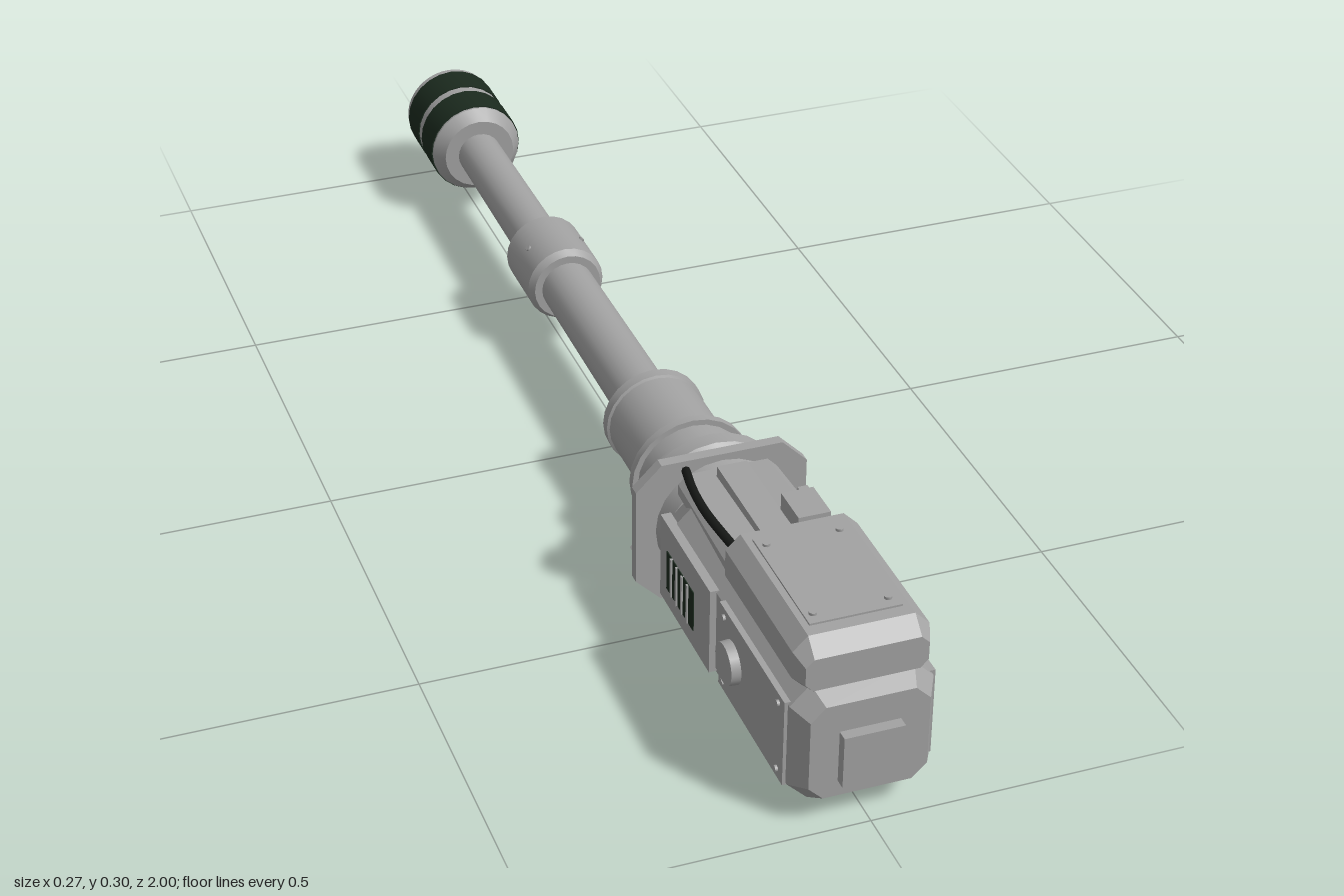
import * as THREE from 'three';
import { toCreasedNormals } from 'three/addons/utils/BufferGeometryUtils.js';

const AXIS = 0.125; // height of the barrel axis

export function createModel() {
  const root = new THREE.Group();
  root.name = 'cannon';
  const mat = (name, color) => {
    const m = new THREE.MeshStandardMaterial({ color });
    m.name = name;
    return m;
  };
  const grey = mat('steelGrey', 0xa2a2a2);
  const green = mat('darkGreen', 0x1b2a1e);
  const black = mat('cableBlack', 0x161816);

  const add = (name, geometry, material = grey) => {
    const mesh = new THREE.Mesh(geometry, material);
    mesh.name = name;
    root.add(mesh);
    return mesh;
  };

  // Box given by its limits
  const box = (name, x0, x1, y0, y1, z0, z1, material) =>
    add(name, new THREE.BoxGeometry(x1 - x0, y1 - y0, z1 - z0)
      .translate((x0 + x1) / 2, (y0 + y1) / 2, (z0 + z1) / 2), material);

  // Chamfered hull through octagonal sections [z, halfWidth, bottom, top, lowerCut, upperCut]
  const hull = (name, sections) => {
    const rings = sections.map(([z, w, b, t, c, d = c]) => [
      [w, b + c, z], [w, t - d, z], [w - d, t, z], [d - w, t, z],
      [-w, t - d, z], [-w, b + c, z], [c - w, b, z], [w - c, b, z],
    ]);
    const pos = [];
    const tri = (...corners) => corners.forEach((p) => pos.push(...p));
    for (let s = 0; s < rings.length - 1; s++) {
      const [a, b] = [rings[s], rings[s + 1]];
      for (let i = 0; i < 8; i++) {
        const j = (i + 1) % 8;
        tri(a[i], a[j], b[j]);
        tri(a[i], b[j], b[i]);
      }
    }
    const first = rings[0], last = rings[rings.length - 1];
    for (let i = 1; i < 7; i++) {
      tri(first[0], first[i + 1], first[i]);
      tri(last[0], last[i], last[i + 1]);
    }
    const g = new THREE.BufferGeometry();
    g.setAttribute('position', new THREE.Float32BufferAttribute(pos, 3));
    g.computeVertexNormals();
    return add(name, g);
  };

  // Turned part around the barrel axis, profile [radius, z] with z rising
  const turned = (name, profile, material) => {
    const pts = profile.map(([r, z]) => new THREE.Vector2(r, z));
    const g = new THREE.LatheGeometry(pts, 24).rotateX(Math.PI / 2).translate(0, AXIS, 0);
    return add(name, toCreasedNormals(g, 0.45), material);
  };

  // Receiver housing
  hull('receiver', [
    [0.44, 0.085, 0.05, 0.2, 0.03], [0.5, 0.106, 0.028, 0.218, 0.03],
    [0.95, 0.106, 0.024, 0.218, 0.03], [0.983, 0.088, 0.044, 0.2, 0.022],
  ]);
  box('frontPlate', -0.045, 0.045, 0.07, 0.154, 0.975, 1);
  box('bellyPlate', -0.086, 0.086, 0.01, 0.03, 0.54, 0.87);

  // Raised top housing with its cover
  hull('topHousing', [
    [0.67, 0.088, 0.212, 0.265, 0.012], [0.69, 0.1, 0.212, 0.293, 0.016, 0.022],
    [0.94, 0.1, 0.212, 0.293, 0.016, 0.022], [0.965, 0.09, 0.218, 0.27, 0.012],
  ]);
  box('topCover', -0.068, 0.068, 0.285, 0.296, 0.71, 0.92);
  for (const x of [-0.055, 0.055]) for (const z of [0.73, 0.9]) {
    add('coverScrew', new THREE.CylinderGeometry(0.006, 0.006, 0.006, 8).translate(x, 0.297, z));
  }

  // Deck behind the top housing
  hull('deck', [
    [0.44, 0.078, 0.19, 0.232, 0.01, 0.015], [0.68, 0.086, 0.19, 0.238, 0.01, 0.015],
  ]);
  box('deckRail', -0.025, 0.022, 0.225, 0.25, 0.46, 0.645);
  box('deckBlock', 0.03, 0.08, 0.225, 0.264, 0.575, 0.642);
  const path = new THREE.CatmullRomCurve3([
    new THREE.Vector3(-0.062, 0.232, 0.43), new THREE.Vector3(-0.075, 0.243, 0.49),
    new THREE.Vector3(-0.08, 0.246, 0.56), new THREE.Vector3(-0.068, 0.242, 0.68),
  ]);
  add('cable', new THREE.TubeGeometry(path, 20, 0.007, 8), black);

  // Side panels, round caps and vents, mirrored
  for (const s of [-1, 1]) {
    const side = (name, a, b, ...rest) =>
      box(name, Math.min(s * a, s * b), Math.max(s * a, s * b), ...rest);
    side('frontSidePanel', 0.1, 0.111, 0.05, 0.192, 0.7, 0.945);
    side('rearSidePanel', 0.1, 0.116, 0.05, 0.192, 0.47, 0.675);
    add('sideCap', new THREE.CylinderGeometry(0.032, 0.034, 0.025, 24)
      .rotateZ(-s * Math.PI / 2).translate(s * 0.113, AXIS, 0.755));
    side('vent', 0.114, 0.1175, 0.08, 0.147, 0.5, 0.612, green);
    for (let i = 1; i < 5; i++) {
      const z = 0.5 + i * 0.0224;
      side('ventSlat', 0.114, 0.12, 0.08, 0.147, z - 0.0025, z + 0.0025);
    }
    for (const y of [0.065, 0.178]) for (const z of [0.72, 0.925]) {
      add('panelScrew', new THREE.CylinderGeometry(0.005, 0.005, 0.006, 8)
        .rotateZ(Math.PI / 2).translate(s * 0.112, y, z));
    }

    // Lower clamp lugs under the mounting flange
    add('clampPin', new THREE.CylinderGeometry(0.014, 0.014, 0.12, 10)
      .rotateX(Math.PI / 2).translate(s * 0.078, 0.042, 0.345));
    add('clampLug', new THREE.BoxGeometry(0.05, 0.018, 0.02)
      .rotateZ(-s * Math.PI / 4).translate(s * 0.085, 0.04, 0.325));
  }

  // Octagonal mounting flange and stepped rings
  hull('mountingFlange', [[0.4, 0.136, 0, 0.24, 0.04], [0.418, 0.136, 0, 0.24, 0.04]]);
  turned('flangeNeck', [[0, 0.415], [0.105, 0.415], [0.1, 0.45], [0, 0.45]]);
  turned('flangeRing', [
    [0, 0.355], [0.108, 0.355], [0.118, 0.365], [0.118, 0.39], [0.11, 0.4], [0, 0.4],
  ]);
  turned('mountRings', [
    [0, 0.278], [0.097, 0.278], [0.097, 0.292], [0.088, 0.292],
    [0.088, 0.335], [0.098, 0.335], [0.098, 0.36], [0, 0.36],
  ]);

  // Barrel
  turned('barrelSleeve', [
    [0, 0.095], [0.062, 0.095], [0.082, 0.112], [0.082, 0.13], [0.078, 0.132],
    [0.078, 0.285], [0, 0.285],
  ]);
  turned('innerBarrel', [[0.045, -0.32], [0.047, 0.1]]);
  turned('outerBarrel', [[0.039, -0.82], [0.041, -0.43]]);
  turned('barrelCollar', [
    [0.04, -0.448], [0.058, -0.448], [0.066, -0.438], [0.066, -0.32], [0.058, -0.308], [0.04, -0.308],
  ]);
  for (let i = 0; i < 4; i++) {
    const a = Math.PI / 4 + i * Math.PI / 2;
    add('collarScrew', new THREE.CylinderGeometry(0.005, 0.005, 0.006, 8).rotateZ(a - Math.PI / 2)
      .translate(0.066 * Math.cos(a), AXIS + 0.066 * Math.sin(a), -0.375));
  }

  // Muzzle with two dark bands and a hexagonal bore
  turned('muzzle', [
    [0.078, -0.978], [0.081, -0.974], [0.081, -0.834], [0.064, -0.812], [0.036, -0.812],
  ]);
  for (const [a, b] of [[-0.986, -0.922], [-0.902, -0.838]]) {
    turned('muzzleBand', [[0.079, a], [0.083, a], [0.083, b], [0.079, b]], green);
  }
  const face = new THREE.Shape().absarc(0, 0, 0.08, 0, Math.PI * 2);
  const hex = new THREE.Path();
  for (let i = 0; i < 6; i++) {
    const a = -i * Math.PI / 3;
    hex[i ? 'lineTo' : 'moveTo'](0.029 * Math.cos(a), 0.029 * Math.sin(a));
  }
  hex.closePath();
  face.holes.push(hex);
  const faceGeo = new THREE.ExtrudeGeometry(face, { depth: 0.04, bevelEnabled: false, curveSegments: 24 });
  add('muzzleFace', toCreasedNormals(faceGeo, 0.45).translate(0, AXIS, -1));
  add('bore', new THREE.CylinderGeometry(0.035, 0.035, 0.008, 6)
    .rotateX(Math.PI / 2).translate(0, AXIS, -0.962), green);

  return root;
}
